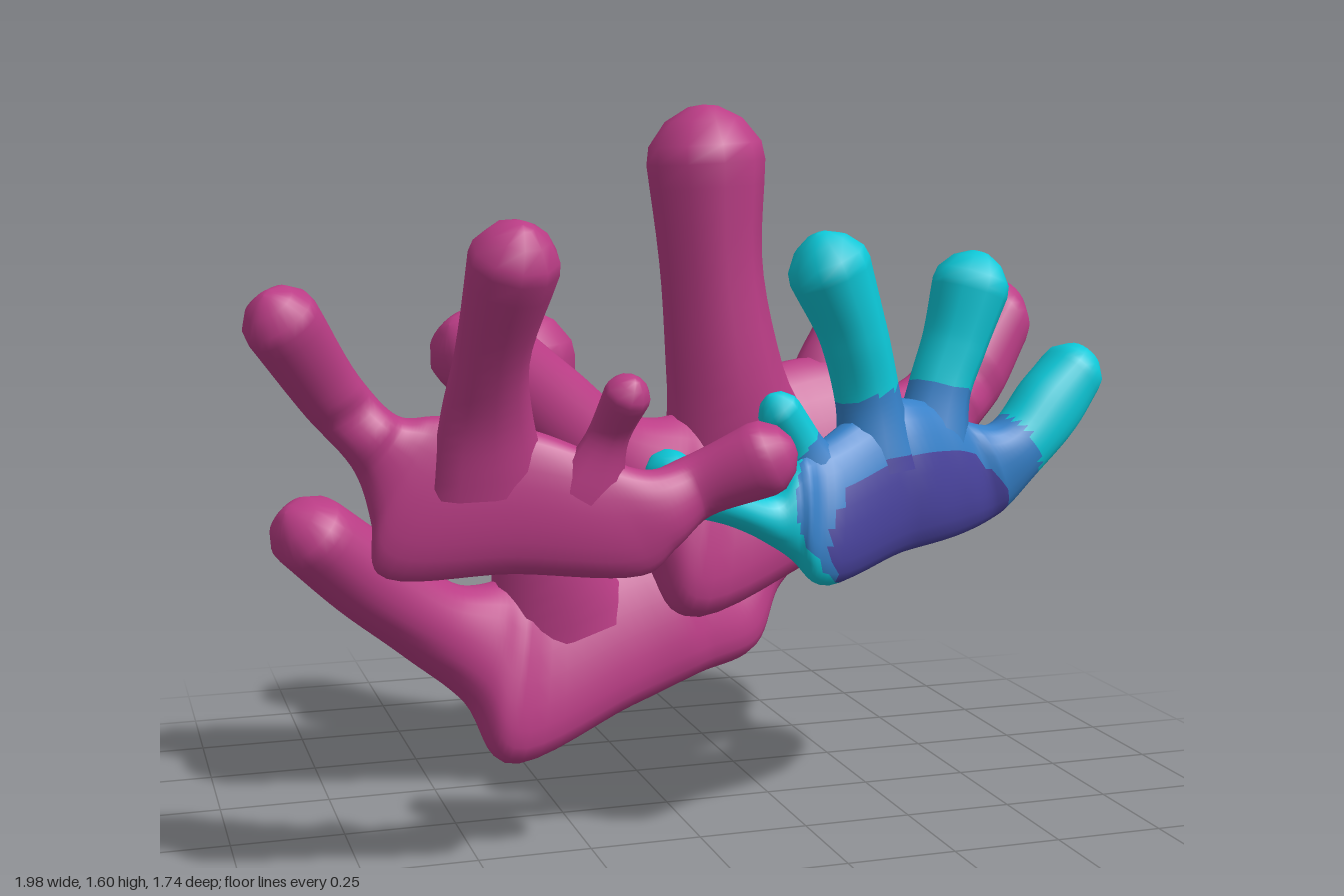
import * as THREE from 'three';

const mat = (name, color) => {
  const m = new THREE.MeshStandardMaterial({ color });
  m.name = name;
  return m;
};
const magenta = mat('magenta', 0xbb3d86);
const cyan = mat('cyan', 0x0cc8d8);
const blue = mat('blue', 0x3580c8);
const indigo = mat('indigo', 0x48429c);

const vec = p => new THREE.Vector3(...p);
const spline = points => new THREE.CatmullRomCurve3(points);

// Skin a stack of equal-length vertex rings; zoneOf picks a material index from a position
function skin(rings, zoneOf) {
  const n = rings[0].length;
  const verts = rings.flat();
  const buckets = [[], [], []];
  const add = (a, b, c) => {
    const mid = verts[a].clone().add(verts[b]).add(verts[c]).divideScalar(3);
    buckets[zoneOf ? zoneOf(mid) : 0].push(a, b, c);
  };
  for (let i = 0; i < rings.length - 1; i++) {
    for (let j = 0; j < n; j++) {
      const k = (j + 1) % n;
      const a = i * n + j, b = i * n + k, c = a + n, d = b + n;
      add(a, b, d);
      add(a, d, c);
    }
  }
  const g = new THREE.BufferGeometry().setFromPoints(verts);
  g.setIndex(buckets.flat());
  let start = 0;
  buckets.forEach((b, i) => {
    if (b.length) g.addGroup(start, b.length, i);
    start += b.length;
  });
  g.computeVertexNormals();
  return g;
}

// Oval ring around c with half axes u and v; power < 1 makes it blunter along u
function oval(c, u, v, sides, power = 1) {
  return Array.from({ length: sides }, (_, j) => {
    const a = j / sides * Math.PI * 2, s = Math.sin(a);
    return c.clone().addScaledVector(u, Math.cos(a))
      .addScaledVector(v, Math.sign(s) * Math.abs(s) ** power);
  });
}

// Rounded tip: [distance, scale] of each closing ring
const tip = [[0.3, 0.95], [0.7, 0.65], [0.92, 0.25], [0.95, 0.001]];

// Finger: tube through [x, y, z, depth, width] points, flared at the root
function finger(points, zoneOf) {
  const steps = zoneOf ? 32 : 14;
  const curve = spline(points.map(p => vec(p.slice(0, 3))));
  const radii = spline(points.map(p => new THREE.Vector3(p[3], p[4] ?? p[3], 0)));
  const ring = (t, h = 0, s = 1) => {
    const T = curve.getTangent(t), r = radii.getPoint(t);
    const u = new THREE.Vector3(0, 0, 1).addScaledVector(T, -T.z).normalize();
    const v = T.clone().cross(u);
    const c = curve.getPoint(t).addScaledVector(T, h * r.x);
    return oval(c, u.multiplyScalar(r.x * s), v.multiplyScalar(r.y * s), 10);
  };
  const rings = [];
  for (let i = 0; i <= steps; i++) rings.push(ring(i / steps));
  for (const [h, s] of tip) rings.push(ring(1, h, s));
  return skin(rings, zoneOf);
}

// Palm with both arms: swept from the left tip to the right tip
// through sections of [top point, bottom point, half thickness]
function palm(sections, zoneOf) {
  const steps = 70;
  const top = spline(sections.map(s => vec(s[0])));
  const bottom = spline(sections.map(s => vec(s[1])));
  const thick = spline(sections.map(s => new THREE.Vector3(s[2], 0, 0)));
  // Same parameter step on every curve keeps the sections matched
  const middle = t => top.getPoint(t).add(bottom.getPoint(t)).multiplyScalar(0.5);
  const ring = (t, h = 0, s = 1) => {
    const T = middle(Math.min(t + 0.01, 1)).sub(middle(Math.max(t - 0.01, 0))).normalize();
    const u = top.getPoint(t).sub(bottom.getPoint(t)).multiplyScalar(0.5);
    const v = T.clone().cross(u).normalize().multiplyScalar(thick.getPoint(t).x * s);
    const c = middle(t).addScaledVector(T, h * u.length());
    return oval(c, u.multiplyScalar(s), v, 24, 0.8);
  };
  const rings = tip.map(([h, s]) => ring(0, -h, s)).reverse();
  for (let i = 0; i <= steps; i++) rings.push(ring(i / steps));
  for (const [h, s] of tip) rings.push(ring(1, h, s));
  return skin(rings, zoneOf);
}

function coral(name, spec, material, zoneOf) {
  const g = new THREE.Group();
  g.name = name;
  const put = (part, geo) => {
    const m = new THREE.Mesh(geo, material);
    m.name = part;
    g.add(m);
  };
  put('palmAndArms', palm(spec.palm, zoneOf));
  for (const [part, pts] of Object.entries(spec.fingers)) put(part, finger(pts, zoneOf));
  return g;
}

// Large fan, used twice
const largeFan = {
  palm: [
    [[-0.69, 0.67, -0.39], [-0.82, 0.53, -0.36], 0.125],
    [[-0.55, 0.555, -0.44], [-0.68, 0.395, -0.4], 0.12],
    [[-0.4, 0.435, -0.49], [-0.52, 0.27, -0.42], 0.115],
    [[-0.28, 0.43, -0.53], [-0.38, 0.15, -0.41], 0.11],
    [[-0.2, 0.47, -0.55], [-0.3, 0, -0.38], 0.1],
    [[0, 0.53, -0.6], [0.05, 0.095, -0.46], 0.1],
    [[0.15, 0.53, -0.63], [0.25, 0.15, -0.52], 0.1],
    [[0.26, 0.45, -0.66], [0.41, 0.19, -0.57], 0.09],
    [[0.36, 0.47, -0.7], [0.5, 0.32, -0.65], 0.1],
    [[0.46, 0.55, -0.73], [0.59, 0.4, -0.7], 0.1],
    [[0.57, 0.67, -0.78], [0.675, 0.525, -0.75], 0.11],
  ],
  fingers: {
    tallFinger: [[-0.12, 0.3, -0.51, 0.11, 0.2], [-0.17, 0.5, -0.485, 0.115, 0.135], [-0.21, 0.75, -0.47, 0.113], [-0.225, 0.99, -0.468, 0.13]],
    smallFinger: [[0.11, 0.36, -0.58, 0.08, 0.14], [0.13, 0.52, -0.605, 0.065, 0.085], [0.155, 0.63, -0.62, 0.05], [0.168, 0.69, -0.62, 0.06]],
  },
};

// Small fan with three colour zones
const zonedFan = {
  palm: [
    [[-0.13, 0.9, 0.49], [-0.15, 0.775, 0.5], 0.075],
    [[-0.02, 0.83, 0.49], [-0.02, 0.74, 0.49], 0.06],
    [[0.07, 0.8, 0.48], [0.07, 0.695, 0.49], 0.055],
    [[0.13, 0.87, 0.46], [0.12, 0.66, 0.5], 0.06],
    [[0.2, 0.9, 0.44], [0.17, 0.61, 0.52], 0.06],
    [[0.35, 0.97, 0.39], [0.38, 0.645, 0.43], 0.065],
    [[0.47, 0.96, 0.35], [0.55, 0.665, 0.37], 0.065],
    [[0.58, 0.91, 0.325], [0.66, 0.7, 0.33], 0.065],
    [[0.66, 0.9, 0.31], [0.75, 0.78, 0.32], 0.07],
    [[0.75, 0.99, 0.285], [0.85, 0.87, 0.3], 0.075],
    [[0.82, 1.05, 0.27], [0.91, 0.95, 0.275], 0.08],
  ],
  fingers: {
    smallFinger: [[0.2, 0.8, 0.46, 0.05, 0.08], [0.145, 0.9, 0.455, 0.042, 0.046], [0.1, 0.965, 0.46, 0.046]],
    tallFinger: [[0.34, 0.82, 0.42, 0.065, 0.1], [0.32, 0.98, 0.4, 0.065, 0.07], [0.28, 1.12, 0.41, 0.072], [0.225, 1.25, 0.415, 0.088]],
    middleFinger: [[0.48, 0.82, 0.36, 0.065, 0.1], [0.52, 0.98, 0.325, 0.065, 0.07], [0.56, 1.08, 0.31, 0.072], [0.6, 1.2, 0.3, 0.085]],
  },
};

// Thin front fan with a forward-leaning finger
const thinFan = {
  palm: [
    [[-0.865, 1.23, 0.63], [-0.985, 1.15, 0.63], 0.07],
    [[-0.77, 1.07, 0.56], [-0.88, 1.01, 0.56], 0.06],
    [[-0.7, 1.0, 0.55], [-0.79, 0.9, 0.55], 0.06],
    [[-0.64, 1.0, 0.56], [-0.76, 0.8, 0.55], 0.055],
    [[-0.58, 1.0, 0.58], [-0.75, 0.7, 0.56], 0.05],
    [[-0.45, 0.97, 0.61], [-0.5, 0.695, 0.61], 0.055],
    [[-0.35, 0.93, 0.63], [-0.24, 0.69, 0.66], 0.05],
    [[-0.24, 0.89, 0.64], [-0.19, 0.735, 0.66], 0.055],
    [[-0.16, 0.91, 0.635], [-0.12, 0.79, 0.64], 0.06],
    [[-0.05, 0.975, 0.68], [0.01, 0.84, 0.69], 0.07],
  ],
  fingers: {
    tallFinger: [[-0.54, 0.86, 0.6, 0.06, 0.12], [-0.55, 1.0, 0.63, 0.065, 0.09], [-0.55, 1.13, 0.69, 0.07], [-0.53, 1.3, 0.785, 0.085]],
    smallFinger: [[-0.36, 0.84, 0.635, 0.05, 0.08], [-0.32, 0.97, 0.665, 0.04], [-0.3, 1.045, 0.715, 0.045]],
  },
};

// Nested ovals: indigo core, blue rim, cyan tips
const zone = p => {
  const inside = (cx, cy, rx, ry) => ((p.x - cx) / rx) ** 2 + ((p.y - cy) / ry) ** 2 < 1;
  return inside(0.43, 0.7, 0.25, 0.17) ? 2 : inside(0.43, 0.78, 0.32, 0.225) ? 1 : 0;
};

export function createModel() {
  const model = new THREE.Group();
  model.name = 'coralCluster';
  const back = coral('backCoral', largeFan, magenta);
  const middle = coral('middleCoral', largeFan, magenta);
  middle.position.set(0.285, 0.48, 0.56);
  model.add(back, middle,
    coral('blueCoral', zonedFan, [cyan, blue, indigo], zone),
    coral('frontCoral', thinFan, magenta));
  return model;
}
